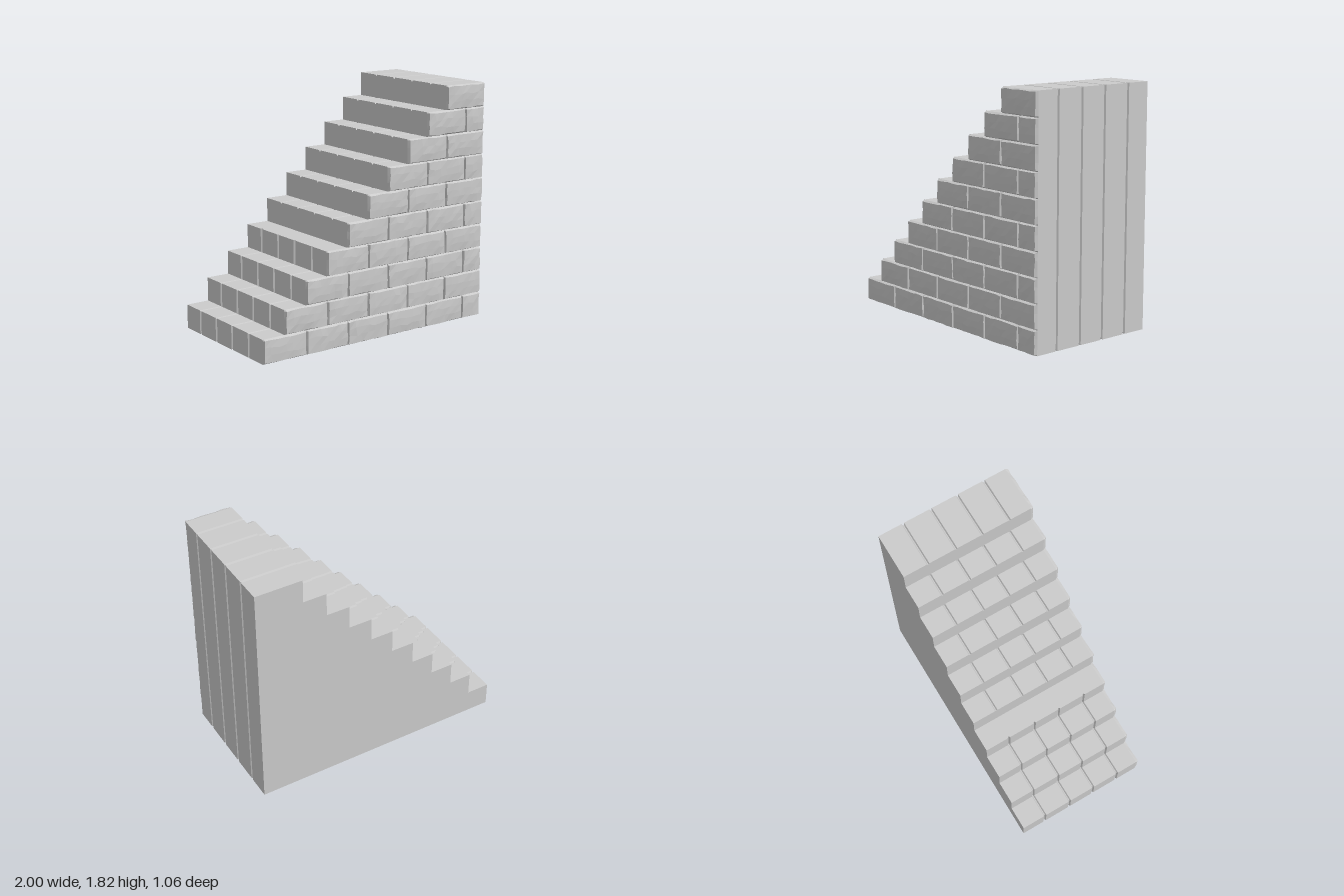
import * as THREE from 'three';

const STEPS = 10, S = 2 / 11;          // step count, rise and run
const BACK = -0.53, FACE = 0.503;      // z limits of the stair body
const GROOVES = [-0.335, -0.11, 0.105, 0.325];
const GROOVE_HALF = 0.011, GROOVE_DEPTH = 0.011;

// Small seeded random generator, 0..1
function seeded(seed) {
  let s = seed;
  return () => {
    s = (s * 1664525 + 1013904223) % 4294967296;
    return s / 4294967296;
  };
}

// Stair outline, counter-clockwise from the front; d is the groove depth here
function outline(d) {
  const riser = i => (i < 4 ? d : 0);
  const tread = i => (i === 3 ? 0 : d);
  const pts = [[1 - d, d], [1 - d, STEPS * S - d]];
  for (let i = STEPS - 1; i >= 0; i--) {
    const x = -1 + i * S + riser(i);
    pts.push([x, (i + 1) * S - tread(i)]);
    pts.push([x, i > 0 ? i * S - tread(i - 1) : d]);
  }
  return pts;
}

// Body: the outline lofted along z, pinched inward at each groove
function bodyGeometry() {
  const sections = [[BACK, 0]];
  for (const z of GROOVES) {
    sections.push([z - GROOVE_HALF, 0], [z - 0.003, GROOVE_DEPTH], [z + 0.003, GROOVE_DEPTH], [z + GROOVE_HALF, 0]);
  }
  sections.push([FACE, 0]);
  const rings = sections.map(([z, d]) => outline(d).map(([x, y]) => [x, y, z]));
  const pos = [];
  for (let k = 0; k < rings.length - 1; k++) {
    const n = rings[k].length;
    for (let j = 0; j < n; j++) {
      const m = (j + 1) % n;
      const a = rings[k][j], b = rings[k][m], c = rings[k + 1][m], e = rings[k + 1][j];
      pos.push(...a, ...b, ...c, ...a, ...c, ...e);
    }
  }
  const geo = new THREE.BufferGeometry();
  geo.setAttribute('position', new THREE.Float32BufferAttribute(pos, 3));
  geo.computeVertexNormals();
  return geo;
}

// Rough-hewn brick front: sloping rim around an uneven, faceted face
function brickGeometry(w, h, rand) {
  const nx = w > 0.3 ? 8 : 5, ny = 5;
  const plane = new THREE.PlaneGeometry(w, h, nx, ny);
  const p = plane.attributes.position;
  const rim = 0.009;
  const place = (i, n, size) => {
    if (i === 0 || i === n) return (i / n - 0.5) * size;
    return -size / 2 + rim + ((i - 1) / (n - 2)) * (size - 2 * rim);
  };
  for (let j = 0; j <= ny; j++) {
    for (let i = 0; i <= nx; i++) {
      const edge = i === 0 || j === 0 || i === nx || j === ny;
      const nearX = i === 1 || i === nx - 1, nearY = j === 1 || j === ny - 1;
      let x = place(i, nx, w), y = -place(j, ny, h), z = 0;
      if (!edge) {
        x += (rand() - 0.5) * (nearX ? 0.008 : 0.025);
        y += (rand() - 0.5) * (nearY ? 0.007 : 0.018);
        z = (nearX || nearY ? 0.019 : 0.023) + rand() * 0.004;
      }
      p.setXYZ(j * (nx + 1) + i, x, y, z);
    }
  }
  const geo = plane.toNonIndexed();
  geo.computeVertexNormals();
  return geo;
}

export function createModel() {
  const model = new THREE.Group();
  model.name = 'brickStaircase';
  const mat = new THREE.MeshStandardMaterial({ color: 0xcccccc, flatShading: true });
  const add = (name, geo, parent = model) => {
    const mesh = new THREE.Mesh(geo, mat);
    mesh.name = name;
    parent.add(mesh);
    return mesh;
  };

  // Grooved treads, risers, end wall and underside
  add('stairBody', bodyGeometry());

  // Plain flat back
  const shape = new THREE.Shape(outline(0).map(([x, y]) => new THREE.Vector2(-x, y)));
  const back = add('backWall', new THREE.ShapeGeometry(shape));
  back.rotation.y = Math.PI;
  back.position.z = BACK;

  // Brick courses, each starting one step further along; half brick at the end when needed
  const bricks = new THREE.Group();
  bricks.name = 'brickFace';
  model.add(bricks);
  const rand = seeded(17);
  for (let row = 0; row < STEPS; row++) {
    for (let cell = row; cell < STEPS + 1; cell += 2) {
      const w = Math.min(2, STEPS + 1 - cell) * S;
      const brick = add('brick', brickGeometry(w, S, rand), bricks);
      brick.position.set(-1 + cell * S + w / 2, (row + 0.5) * S, FACE);
    }
  }
  return model;
}
